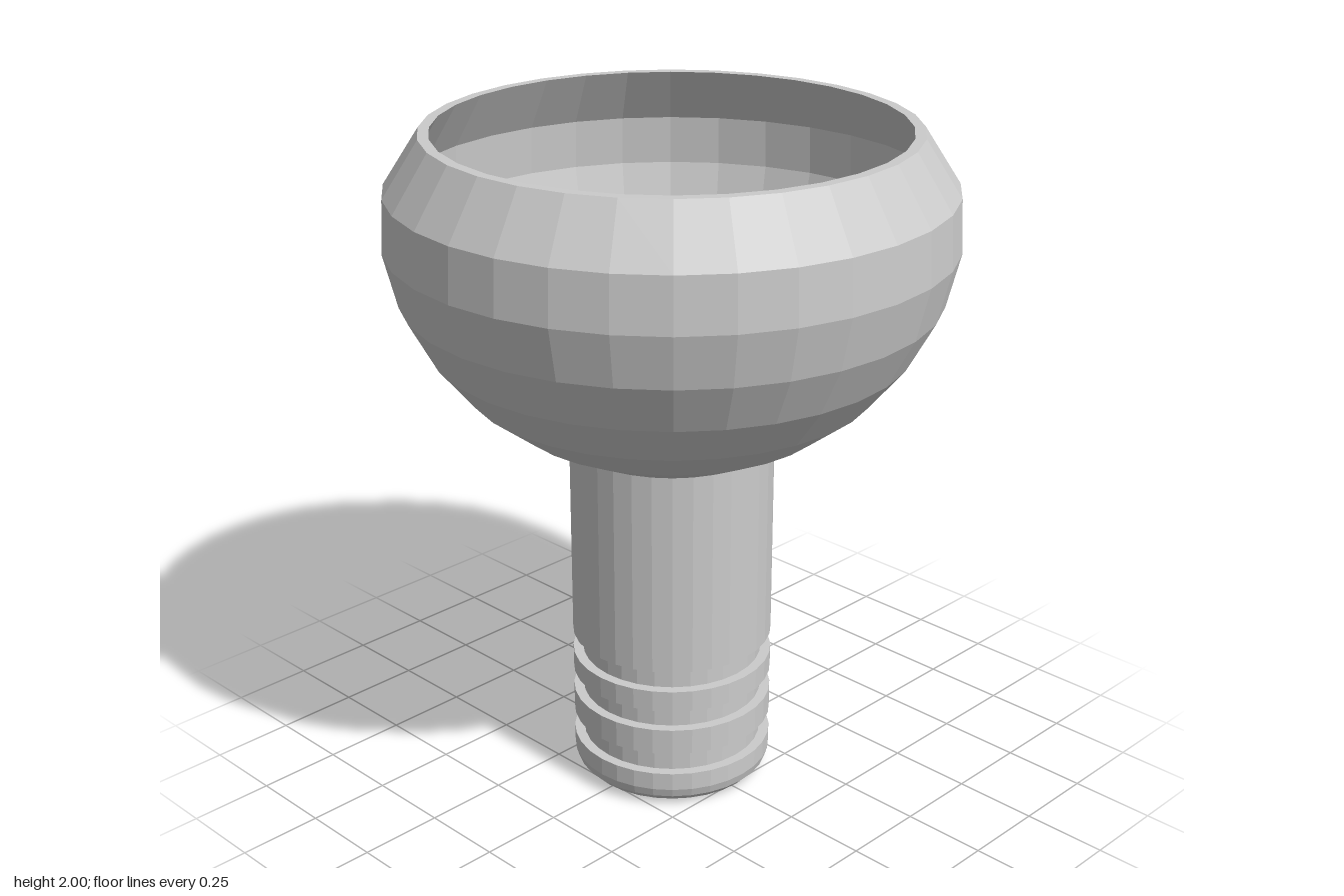
import * as THREE from 'three';

const SIDES = 32;

// Faceted solid of revolution; the profile runs up the outside
function turned(name, profile, material) {
  const points = profile.map(([r, y]) => new THREE.Vector2(r, y));
  const mesh = new THREE.Mesh(new THREE.LatheGeometry(points, SIDES), material);
  mesh.name = name;
  return mesh;
}

export function createModel() {
  const group = new THREE.Group();
  group.name = 'stemmedBowl';
  const material = new THREE.MeshStandardMaterial({ color: 0xcccccc, flatShading: true });

  // Stem: rounded foot, then three grooves cut into the shaft
  const shaft = 0.3, groove = 0.27;
  const stem = [[0, 0], [0.245, 0], [0.272, 0.012], [0.292, 0.033], [shaft, 0.06]];
  for (const [low, high] of [[0.115, 0.185], [0.265, 0.33], [0.395, 0.46]]) {
    stem.push([shaft, low], [groove, low], [groove, high], [shaft, high]);
  }
  stem.push([shaft, 1.08]);
  group.add(turned('stem', stem, material));

  // Bowl: outer wall up to the flat rim, then down the inner wall to the floor
  const outer = [[0.3, 1.08], [0.46, 1.16], [0.59, 1.26], [0.692, 1.385],
    [0.77, 1.53], [0.808, 1.685], [0.8, 1.84], [0.696, 2]];
  const inner = [[0.665, 2], [0.765, 1.835], [0.773, 1.69], [0.735, 1.54],
    [0.662, 1.403], [0.555, 1.285], [0.435, 1.19], [0.3, 1.12], [0.228, 1.09], [0, 1.09]];
  group.add(turned('bowl', [...outer, ...inner], material));

  return group;
}
